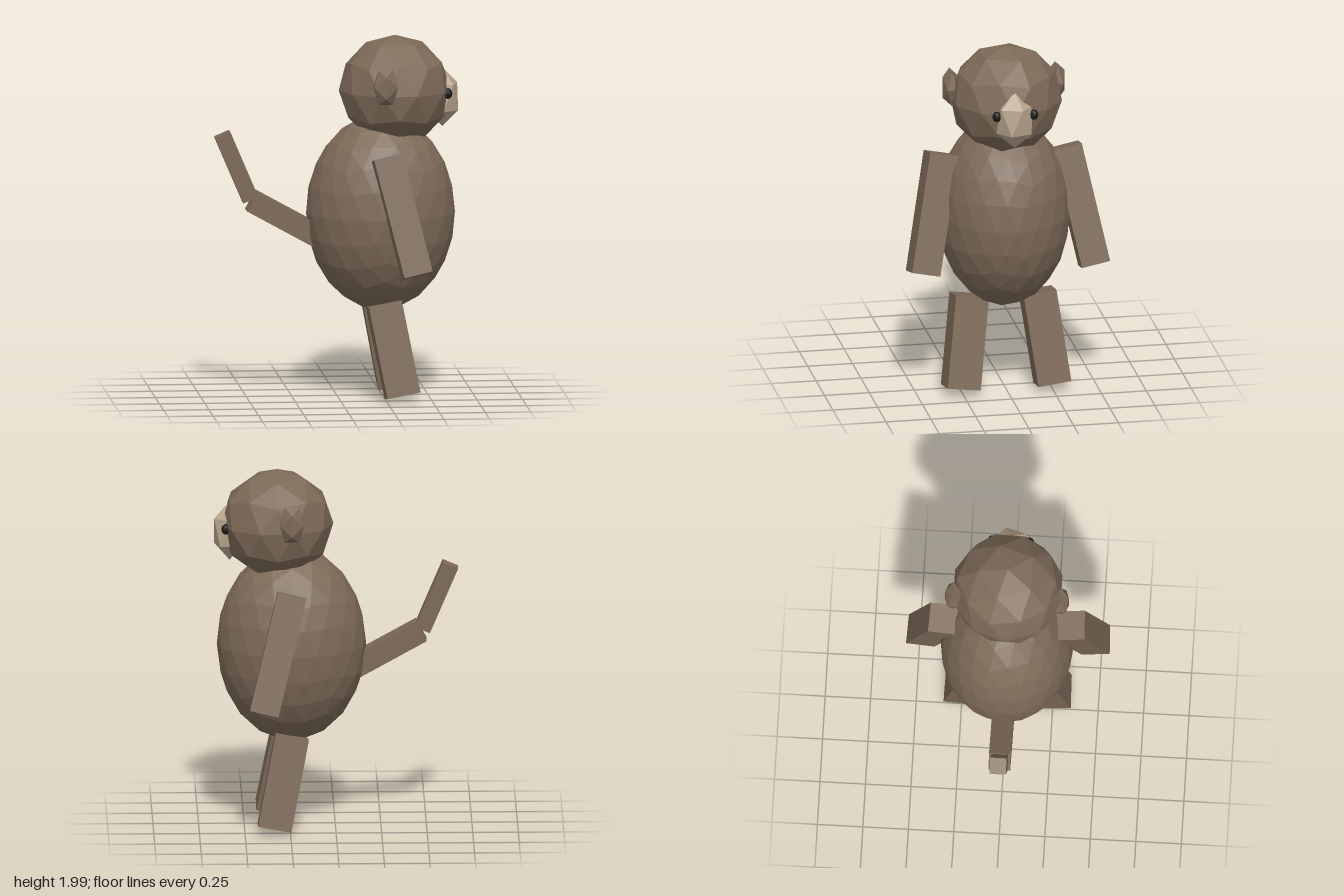
import * as THREE from 'three';

const mat = (color) => new THREE.MeshStandardMaterial({ color, flatShading: true });

export function createModel() {
  const group = new THREE.Group();
  const fur = mat(0x7d6a58), skin = mat(0xb8a58e), black = mat(0x1a1a1a);

  const add = (name, geometry, material, position, rotation = [0, 0, 0]) => {
    const mesh = new THREE.Mesh(geometry, material);
    mesh.name = name;
    mesh.position.set(...position);
    mesh.rotation.set(...rotation);
    group.add(mesh);
  };

  // Faceted ellipsoid; poleUp turns a corner of the icosahedron to the top
  const ball = (rx, ry, rz, detail, poleUp = true) => {
    const g = new THREE.IcosahedronGeometry(1, detail);
    if (poleUp) g.rotateZ(-Math.atan(2 / (1 + Math.sqrt(5)))).rotateY(Math.PI / 2);
    return g.scale(rx, ry, rz);
  };

  // Torso, head and muzzle (the animal looks towards +x)
  add('body', ball(0.41, 0.54, 0.365, 3), fur, [0.24, 1.02, 0]);
  add('head', ball(0.31, 0.305, 0.31, 1), fur, [0.32, 1.695, 0]);
  add('muzzle', ball(0.1, 0.165, 0.115, 0), skin, [0.58, 1.655, 0]);

  // Paired parts, mirrored across z
  for (const s of [1, -1]) {
    const side = s > 0 ? 'Front' : 'Back';
    add('eye' + side, ball(0.025, 0.03, 0.025, 1), black, [0.602, 1.685, s * 0.103]);
    add('ear' + side, ball(0.077, 0.115, 0.053, 0, false), fur, [0.243, 1.75, s * 0.295]);
    add('arm' + side, new THREE.BoxGeometry(0.16, 0.67, 0.16), fur,
      [0.322, 1.05, s * 0.413], [s * -0.2, 0, 0.235]);
    add('leg' + side, new THREE.BoxGeometry(0.185, 0.515, 0.185), fur,
      [0.29, 0.286, s * 0.223], [s * -0.13, 0, 0.19]);
  }

  // Two-part tail
  add('tailBase', new THREE.BoxGeometry(0.5, 0.12, 0.12), fur, [-0.253, 0.971, 0], [0, 0, -0.505]);
  add('tailTip', new THREE.BoxGeometry(0.09, 0.394, 0.09), fur, [-0.555, 1.28, 0], [0, 0, 0.404]);

  return group;
}
